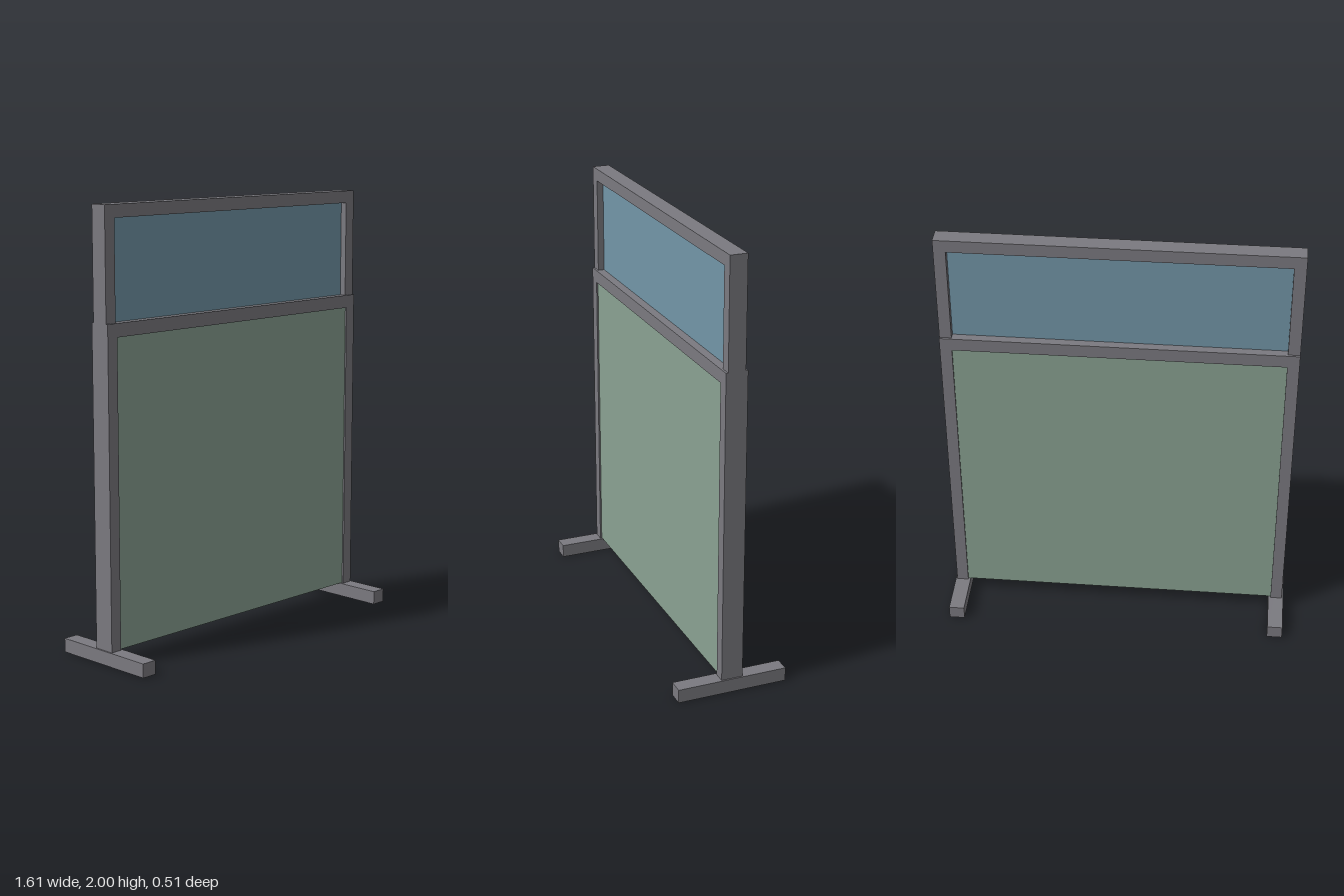
import * as THREE from 'three';

const material = (color) => new THREE.MeshStandardMaterial({ color });

export function createModel() {
  const group = new THREE.Group();
  group.name = 'partitionScreen';
  const frame = material(0x7b7a80);
  const fabric = material(0x8aa292);
  const glass = material(0x7396a8);

  // Box given by its x and y limits and its depth, centred on z = 0
  const slab = (name, mat, x0, x1, y0, y1, depth) => {
    const mesh = new THREE.Mesh(new THREE.BoxGeometry(x1 - x0, y1 - y0, depth), mat);
    mesh.position.set((x0 + x1) / 2, (y0 + y1) / 2, 0);
    mesh.name = name;
    group.add(mesh);
  };

  // Frame with a rectangular opening, extruded through its depth
  const ring = (name, y0, y1, holeBottom, holeTop, depth) => {
    const rect = (path, w, a, b) =>
      path.moveTo(-w, a).lineTo(w, a).lineTo(w, b).lineTo(-w, b).closePath();
    const shape = rect(new THREE.Shape(), 0.797, y0, y1);
    shape.holes.push(rect(new THREE.Path(), 0.743, holeBottom, holeTop));
    const geometry = new THREE.ExtrudeGeometry(shape, { depth, bevelEnabled: false });
    geometry.translate(0, 0, -depth / 2);
    const mesh = new THREE.Mesh(geometry, frame);
    mesh.name = name;
    group.add(mesh);
  };

  // Upper window frame and its thin pane
  ring('windowFrame', 1.46, 2, 1.5, 1.943, 0.08);
  slab('windowPane', glass, -0.745, 0.745, 1.498, 1.945, 0.02);

  // Lower frame is a downward-open U: two posts and a cross rail
  const u = new THREE.Shape();
  [[-0.797, 0.06], [-0.743, 0.06], [-0.743, 1.44], [0.743, 1.44],
    [0.743, 0.06], [0.797, 0.06], [0.797, 1.5], [-0.797, 1.5]]
    .forEach(([x, y], i) => (i ? u.lineTo(x, y) : u.moveTo(x, y)));
  const lower = new THREE.ExtrudeGeometry(u, { depth: 0.1, bevelEnabled: false });
  lower.translate(0, 0, -0.05);
  const lowerFrame = new THREE.Mesh(lower, frame);
  lowerFrame.name = 'lowerFrame';
  group.add(lowerFrame);

  // Solid lower panel, set slightly back from the frame faces
  slab('lowerPanel', fabric, -0.743, 0.743, 0.065, 1.44, 0.085);

  // Feet run front to back under each post
  for (const [name, x] of [['leftFoot', 0.768], ['rightFoot', -0.768]]) {
    slab(name, frame, x - 0.036, x + 0.036, 0, 0.063, 0.514);
  }
  return group;
}
